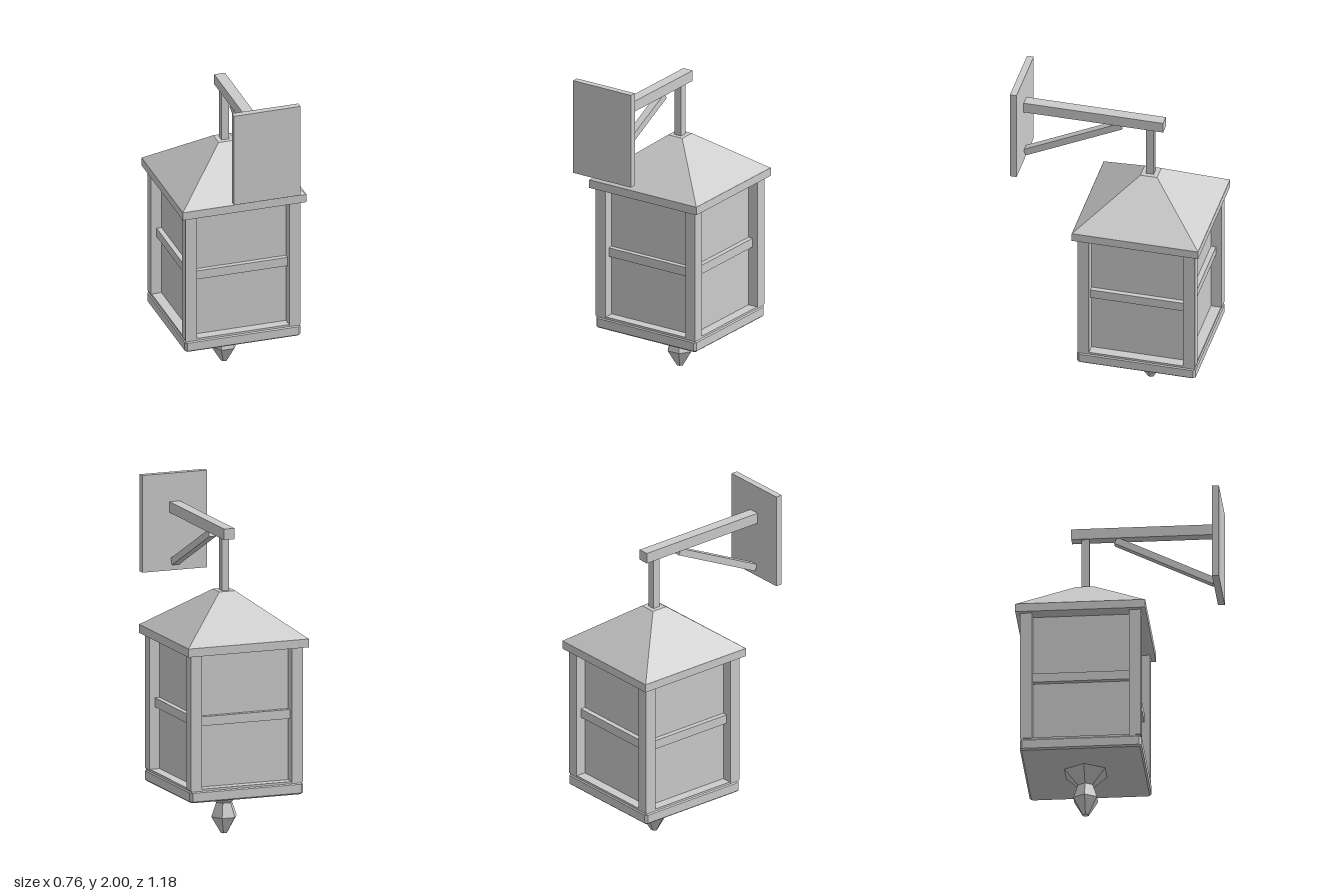
import * as THREE from 'three';

export function createModel() {
  const model = new THREE.Group();
  model.name = 'wallLantern';
  const grey = new THREE.MeshStandardMaterial({ color: 0xcccccc, flatShading: true });
  grey.name = 'light grey metal';

  const add = (name, geometry, parent, x, y, z) => {
    const mesh = new THREE.Mesh(geometry, grey);
    mesh.name = name;
    mesh.position.set(x, y, z);
    parent.add(mesh);
    return mesh;
  };
  // Box given by width, depth and its bottom and top heights
  const box = (name, parent, w, d, y0, y1, x = 0, z = 0) =>
    add(name, new THREE.BoxGeometry(w, y1 - y0, d), parent, x, (y0 + y1) / 2, z);

  // Wall bracket
  const bracket = new THREE.Group();
  bracket.name = 'bracket';
  model.add(bracket);
  box('wallPlate', bracket, 0.41, 0.04, 1.42, 2, 0, 0.57);
  box('arm', bracket, 0.066, 0.84, 1.765, 1.83, 0, 0.13);

  // Sloping brace between the plate and the arm
  const low = new THREE.Vector3(0, 1.472, 0.548);
  const high = new THREE.Vector3(0, 1.755, -0.03);
  const mid = low.clone().lerp(high, 0.5);
  const brace = add('brace', new THREE.BoxGeometry(0.045, 0.042, low.distanceTo(high)), bracket, 0, mid.y, mid.z);
  brace.lookAt(high);

  // Lantern, centred on its own axis
  const lantern = new THREE.Group();
  lantern.name = 'lantern';
  lantern.position.z = -0.208;
  model.add(lantern);
  box('hanger', lantern, 0.046, 0.046, 1.44, 1.77);

  // Roof
  const slope = new THREE.CylinderGeometry(0.05 * Math.SQRT2, 0.38 * Math.SQRT2, 0.25, 4);
  slope.rotateY(Math.PI / 4);
  add('roofSlope', slope, lantern, 0, 1.325, 0);
  box('roofEave', lantern, 0.762, 0.762, 1.15, 1.2);

  // Body panels, corner posts and middle rails
  box('panels', lantern, 0.58, 0.58, 0.34, 1.16);
  for (const sx of [-1, 1]) {
    for (const sz of [-1, 1]) {
      box('cornerPost', lantern, 0.07, 0.07, 0.345, 1.155, sx * 0.319, sz * 0.319);
    }
    box('sideRail', lantern, 0.04, 0.58, 0.72, 0.775, sx * 0.3, 0);
    box('frontBackRail', lantern, 0.58, 0.04, 0.72, 0.775, 0, sx * 0.3);
  }

  // Chamfered base
  const s = 0.347;
  const c = 0.008;
  const outline = new THREE.Shape([
    [-s + c, -s], [s - c, -s], [s, -s + c], [s, s - c],
    [s - c, s], [-s + c, s], [-s, s - c], [-s, -s + c],
  ].map(([x, y]) => new THREE.Vector2(x, y)));
  const baseGeometry = new THREE.ExtrudeGeometry(outline, {
    depth: 0.052, bevelEnabled: true, bevelSegments: 1, bevelSize: 0.01, bevelThickness: 0.009,
  });
  baseGeometry.rotateX(-Math.PI / 2);
  add('base', baseGeometry, lantern, 0, 0.279, 0);
  box('baseTop', lantern, 0.7, 0.7, 0.33, 0.35);

  // Six-sided finial under the base
  const profile = [[0, 0], [0.02, 0], [0.08, 0.1], [0.05, 0.185], [0.14, 0.272], [0, 0.272]]
    .map(([r, y]) => new THREE.Vector2(r, y));
  add('finial', new THREE.LatheGeometry(profile, 6, Math.PI / 2), lantern, 0, 0, 0);

  return model;
}
